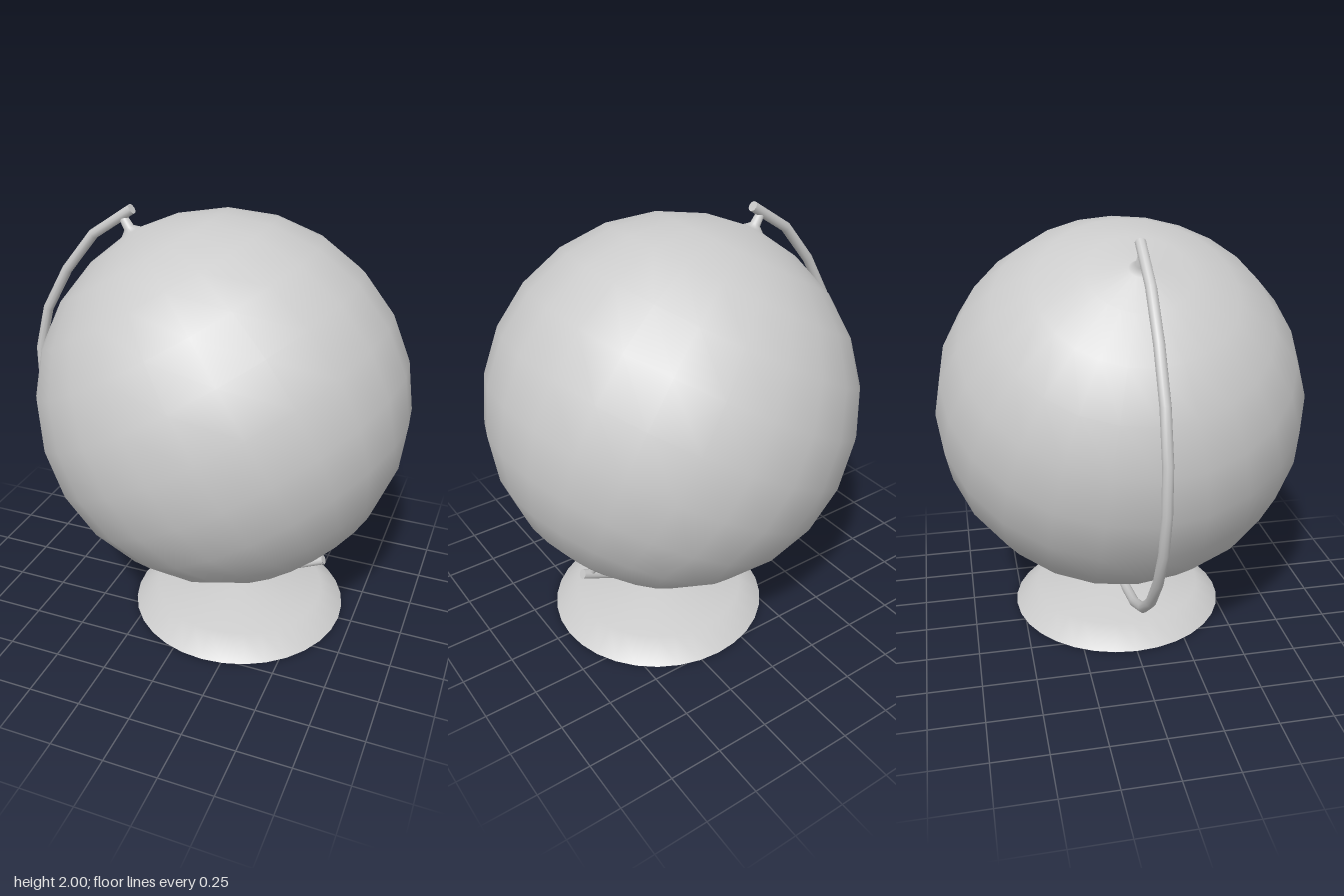
import * as THREE from 'three';

const material = new THREE.MeshStandardMaterial({ color: 0xcccccc });

function addMesh(parent, name, geometry) {
  const mesh = new THREE.Mesh(geometry, material);
  mesh.name = name;
  parent.add(mesh);
  return mesh;
}

function lathe(points, segments) {
  return new THREE.LatheGeometry(points.map(([r, y]) => new THREE.Vector2(r, y)), segments);
}

export function createModel() {
  const group = new THREE.Group();
  group.name = 'deskGlobe';

  // Ball with a small pivot pin drawn out of each pole, on a tilted axis
  const R = 0.87;
  const pin = [[0, 0.95], [0.019, 0.95], [0.024, 0.89], [0.05, 0.868]];
  const profile = pin.map(([r, y]) => [r, -y]);
  for (let i = 1; i < 12; i++) {
    const a = (i / 12) * Math.PI;
    profile.push([R * Math.sin(a), -R * Math.cos(a)]);
  }
  profile.push(...pin.slice().reverse());
  const ball = addMesh(group, 'globeBall', lathe(profile, 24));
  ball.position.set(0.06, 1.13, 0);
  ball.rotation.z = THREE.MathUtils.degToRad(31);

  // Curved support arm, straight between its stations
  const stations = [
    [-0.38, 1.98], [-0.58, 1.845], [-0.73, 1.66], [-0.85, 1.45], [-0.91, 1.23],
    [-0.912, 1.02], [-0.87, 0.82], [-0.78, 0.63], [-0.65, 0.455], [-0.495, 0.325],
    [-0.305, 0.235], [-0.09, 0.19], [0.15, 0.19], [0.37, 0.235], [0.59, 0.335],
  ];
  const curve = new THREE.CatmullRomCurve3(stations.map(([x, y]) => new THREE.Vector3(x, y, 0)));
  curve.getPointAt = curve.getPoint;
  curve.getTangentAt = curve.getTangent;
  const armRadius = 0.024;
  addMesh(group, 'supportArm', new THREE.TubeGeometry(curve, stations.length - 1, armRadius, 10));

  // Flat caps on both ends of the arm
  for (const [t, sign] of [[0, -1], [1, 1]]) {
    const cap = addMesh(group, 'armEndCap', new THREE.CircleGeometry(armRadius, 10));
    cap.position.copy(curve.getPoint(t));
    const outward = curve.getTangent(t).multiplyScalar(sign);
    cap.quaternion.setFromUnitVectors(new THREE.Vector3(0, 0, 1), outward);
  }

  // Stand: bevelled foot with a flat underside and a short post
  const stand = new THREE.Group();
  stand.name = 'stand';
  stand.position.x = 0.155;
  group.add(stand);
  addMesh(stand, 'foot', lathe([[0.53, 0], [0.42, 0.088], [0.035, 0.135], [0, 0.135]], 32));
  addMesh(stand, 'footUnderside', new THREE.CircleGeometry(0.53, 32)).rotation.x = Math.PI / 2;
  const post = addMesh(stand, 'post', new THREE.CylinderGeometry(0.036, 0.036, 0.13, 16));
  post.position.y = 0.185;

  return group;
}
